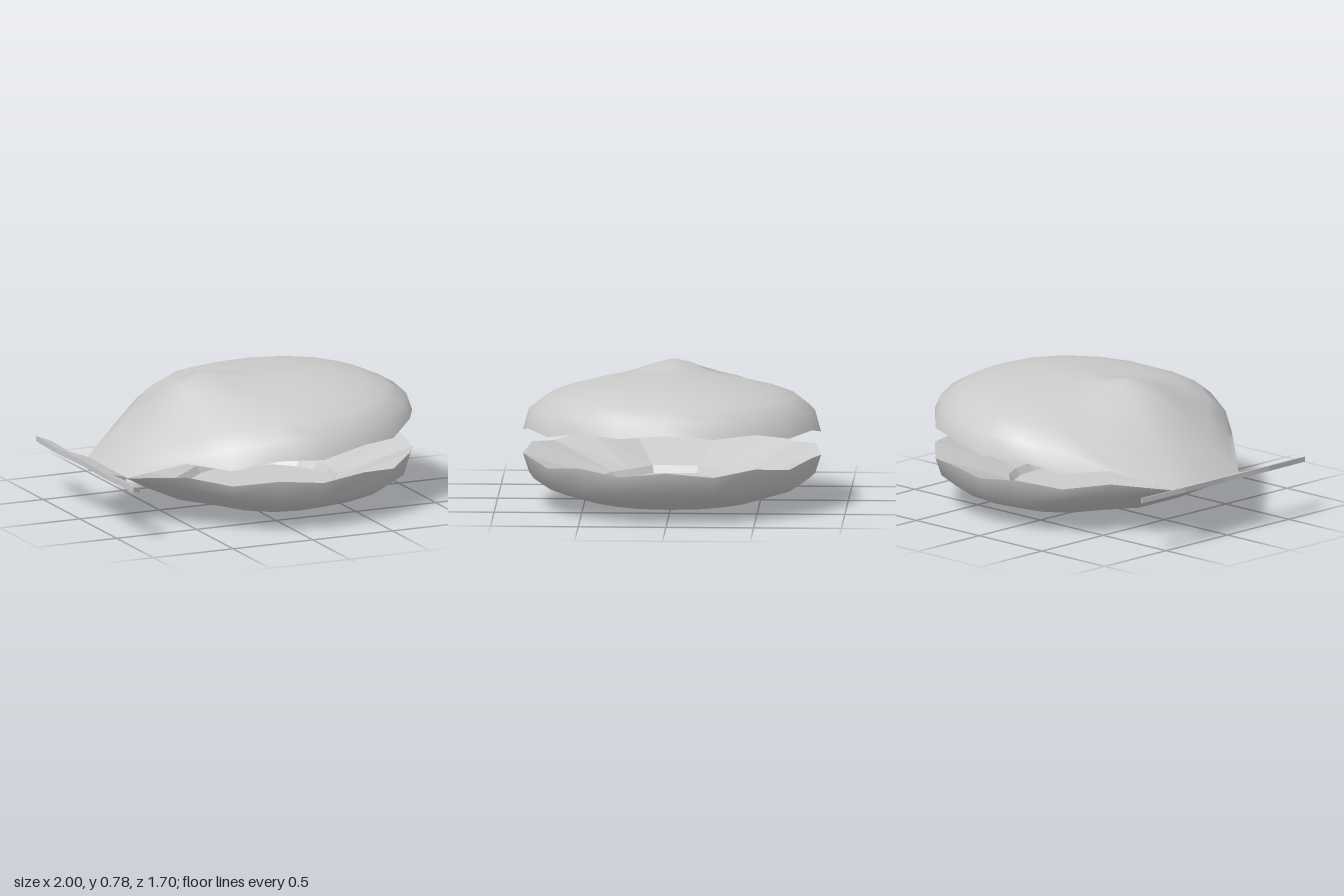
import * as THREE from 'three';
import { mergeVertices } from 'three/addons/utils/BufferGeometryUtils.js';

const CENTRE = 0.14;

// Half outline from hinge to front lip: x, z, lower rim y, upper rim y, hinge weight
const half = [
  [-0.84, 0, 0.28, 0.28, 1],
  [-0.84, 0.26, 0.28, 0.28, 1],
  [-0.56, 0.5, 0.31, 0.39, 0.6],
  [-0.36, 0.69, 0.28, 0.37, 0.25],
  [-0.12, 0.81, 0.31, 0.43, 0.05],
  [0.14, 0.85, 0.285, 0.42, 0],
  [0.41, 0.81, 0.31, 0.47, 0],
  [0.65, 0.69, 0.28, 0.46, 0],
  [0.84, 0.5, 0.31, 0.51, 0],
  [0.96, 0.27, 0.28, 0.5, 0],
  [1, 0, 0.31, 0.525, 0],
];
const mirrored = half.slice(1, -1).reverse().map(([x, z, ...rest]) => [x, -z, ...rest]);
const outline = [...half, ...mirrored];

// Surface from shrinking rings; each ring is [scale, side y, hinge y, front y], the first is the rim
function ringSurface(rimColumn, rings, up, bump = () => 0) {
  const positions = [];
  const index = [];
  const n = outline.length;
  const all = [[1], ...rings];
  for (const [s, side, hinge, front] of all) {
    for (const p of outline) {
      const x = CENTRE + (p[0] - CENTRE) * s;
      const z = p[1] * s;
      let y = p[rimColumn];
      if (s < 1) {
        const f = Math.max(0, (p[0] - CENTRE) / 0.86);
        y = side + (hinge - side) * p[4] + (front - side) * f + bump(x, z);
      }
      positions.push(x, y, z);
    }
  }
  for (let i = 0; i < all.length - 1; i++) {
    for (let j = 0; j < n; j++) {
      const k = (j + 1) % n;
      const a = i * n + j, b = i * n + k, c = a + n, d = b + n;
      if (up) index.push(a, b, c, b, d, c);
      else index.push(a, c, b, b, c, d);
    }
  }
  let geometry = new THREE.BufferGeometry();
  geometry.setAttribute('position', new THREE.Float32BufferAttribute(positions, 3));
  geometry.setIndex(index);
  geometry = mergeVertices(geometry, 1e-4);
  geometry.computeVertexNormals();
  return geometry;
}

// Flat ears behind the hinge, rising towards the back
function hingeEars() {
  const side = [[-0.83, 0.26], [-0.93, 0.3], [-0.9, 0.6], [-0.97, 0.665], [-1, 0.34], [-0.98, 0]];
  const other = side.slice(0, -1).reverse().map(([x, z]) => [x, -z]);
  const shape = new THREE.Shape([...side, ...other].map(([x, z]) => new THREE.Vector2(x, z)));
  const geometry = new THREE.ExtrudeGeometry(shape, { depth: 0.03, bevelEnabled: false });
  geometry.rotateX(Math.PI / 2);
  const pos = geometry.attributes.position;
  for (let i = 0; i < pos.count; i++) {
    pos.setY(i, pos.getY(i) + 0.287 + (-0.83 - pos.getX(i)) * 0.33);
  }
  geometry.computeVertexNormals();
  return geometry;
}

export function createModel() {
  const model = new THREE.Group();
  model.name = 'clam';
  const smooth = new THREE.MeshStandardMaterial({ color: 0xcccccc, side: THREE.DoubleSide });
  const flat = new THREE.MeshStandardMaterial({ color: 0xcccccc, flatShading: true, side: THREE.DoubleSide });
  const add = (name, geometry, material) => {
    const mesh = new THREE.Mesh(geometry, material);
    mesh.name = name;
    model.add(mesh);
  };

  // Lower shell and its hollow
  add('lowerShell', ringSurface(2, [
    [0.96, 0.18, 0.265, 0.18],
    [0.84, 0.11, 0.2, 0.11],
    [0.6, 0.045, 0.09, 0.045],
    [0.3, 0.01, 0.02, 0.01],
    [0, 0, 0, 0],
  ], false), smooth);
  add('lowerHollow', ringSurface(2, [
    [0.5, 0.14, 0.14, 0.14],
    [0.47, 0.1, 0.1, 0.1],
    [0, 0.1, 0.1, 0.1],
  ], true), flat);

  // Upper shell, with a rounded knob on the hinge side, and its hollow
  const knob = (x, z) => 0.08 * Math.exp(-((x + 0.24) ** 2 + z ** 2) / 0.03);
  add('upperShell', ringSurface(3, [
    [0.96, 0.545, 0.32, 0.6],
    [0.84, 0.625, 0.44, 0.66],
    [0.7, 0.668, 0.55, 0.705],
    [0.53, 0.7, 0.69, 0.73],
    [0.37, 0.718, 0.7, 0.74],
    [0.2, 0.735, 0.725, 0.748],
    [0, 0.75, 0.75, 0.75],
  ], true, knob), smooth);
  add('upperHollow', ringSurface(3, [
    [0.5, 0.55, 0.53, 0.58],
    [0, 0.58, 0.58, 0.58],
  ], false), flat);

  add('hingeEars', hingeEars(), flat);
  return model;
}
